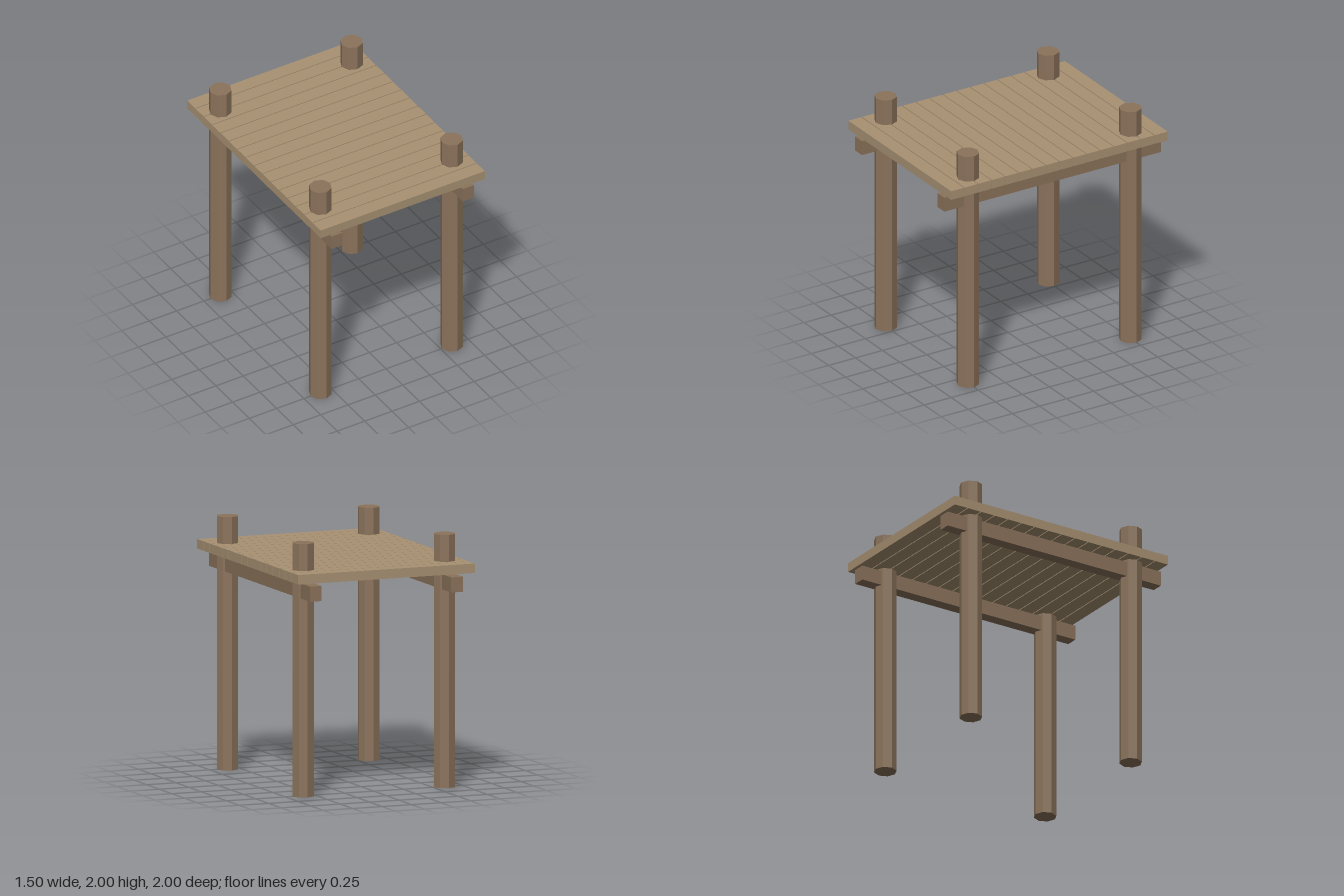
import * as THREE from 'three';

export function createModel() {
  const group = new THREE.Group();
  const postWood = new THREE.MeshStandardMaterial({ color: 0x8b735b, flatShading: true });
  const plankWood = new THREE.MeshStandardMaterial({ color: 0xa89173, flatShading: true });

  const add = (name, geometry, material, x, y, z) => {
    const mesh = new THREE.Mesh(geometry, material);
    mesh.name = name;
    mesh.position.set(x, y, z);
    group.add(mesh);
  };

  // Eight-sided posts at the corners, and a beam along each side
  const postGeometry = new THREE.CylinderGeometry(0.09, 0.09, 2, 8);
  const beamGeometry = new THREE.BoxGeometry(0.1, 0.12, 2);
  for (const side of [-1, 1]) {
    const sideName = side > 0 ? 'left' : 'right';
    for (const end of [-1, 1]) {
      add(`${sideName}${end > 0 ? 'Front' : 'Back'}Post`, postGeometry, postWood, side * 0.6, 1, end * 0.75);
    }
    add(`${sideName}Beam`, beamGeometry, postWood, side * 0.6, 1.63, 0);
  }

  // Deck planks with narrow gaps
  const count = 16, gap = 0.008;
  const width = (2 - gap * (count - 1)) / count;
  const plankGeometry = new THREE.BoxGeometry(1.5, 0.075, width);
  for (let i = 0; i < count; i++) {
    add(`plank${i + 1}`, plankGeometry, plankWood, 0, 1.75, -1 + width / 2 + i * (width + gap));
  }
  return group;
}
